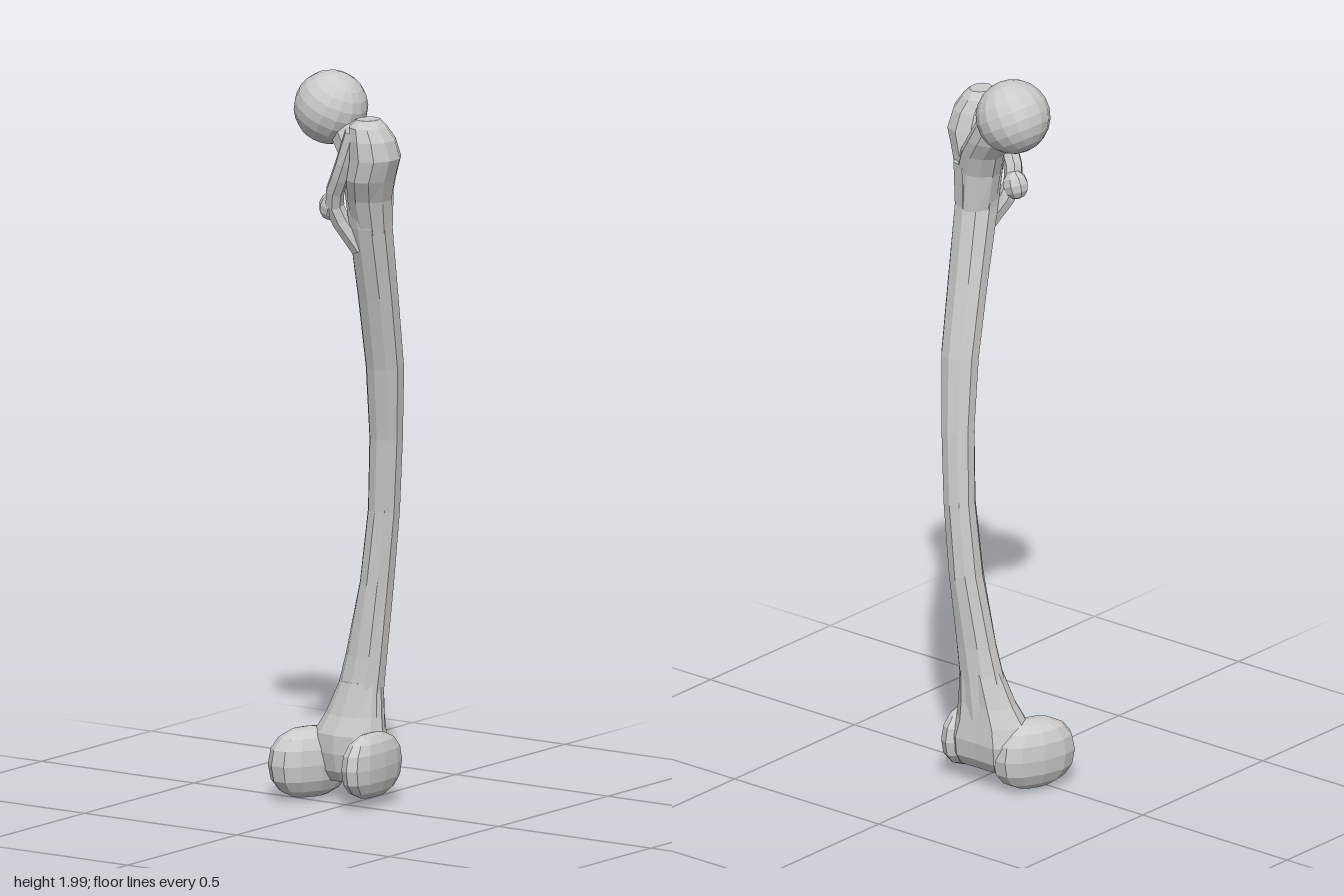
import * as THREE from 'three';

const bone = new THREE.MeshStandardMaterial({ color: 0xcccccc, flatShading: true });

// Closed loft through level sections [y, xMin, xMax, zMin, zMax]; shape(a) scales the outline by angle
function loft(sections, sides, shape = () => 1) {
  const pos = [], idx = [];
  for (const [y, x0, x1, z0, z1] of sections) {
    for (let i = 0; i < sides; i++) {
      const a = (i / sides) * Math.PI * 2, r = shape(a);
      pos.push((x0 + x1) / 2 + Math.cos(a) * r * (x1 - x0) / 2, y,
        (z0 + z1) / 2 + Math.sin(a) * r * (z1 - z0) / 2);
    }
  }
  const last = (sections.length - 1) * sides, c = pos.length / 3;
  for (const s of [sections[0], sections[sections.length - 1]]) {
    pos.push((s[1] + s[2]) / 2, s[0], (s[3] + s[4]) / 2);
  }
  for (let i = 0; i < sides; i++) {
    const n = (i + 1) % sides;
    for (let k = 0; k < last; k += sides) {
      idx.push(k + i, k + sides + i, k + n, k + n, k + sides + i, k + sides + n);
    }
    idx.push(c, i, n, c + 1, last + n, last + i);
  }
  const g = new THREE.BufferGeometry();
  g.setAttribute('position', new THREE.Float32BufferAttribute(pos, 3));
  g.setIndex(idx);
  g.computeVertexNormals();
  return g;
}

// Faceted ellipsoid; power below 1 makes it squarer
function blob(radii, power = 1, w = 12, h = 8) {
  const g = new THREE.SphereGeometry(1, w, h), p = g.attributes.position;
  const f = (v) => Math.sign(v) * Math.abs(v) ** power;
  for (let i = 0; i < p.count; i++) {
    p.setXYZ(i, f(p.getX(i)) * radii[0], f(p.getY(i)) * radii[1], f(p.getZ(i)) * radii[2]);
  }
  g.computeVertexNormals();
  return g;
}

export function createModel() {
  const model = new THREE.Group();
  const add = (name, geometry, at = [0, 0, 0], turn = [0, 0, 0]) => {
    const m = new THREE.Mesh(geometry, bone);
    m.name = name;
    m.position.set(...at);
    m.rotation.set(...turn);
    model.add(m);
  };

  // Bowed shaft
  add('shaft', loft([
    [0.2, 0.02, 0.142, -0.12, 0.06],
    [0.3, 0.035, 0.14, -0.085, 0.052],
    [0.4, 0.045, 0.14, -0.06, 0.06],
    [0.6, 0.055, 0.15, -0.02, 0.075],
    [0.8, 0.06, 0.146, 0.005, 0.095],
    [1.0, 0.045, 0.132, 0.02, 0.115],
    [1.2, 0.01, 0.107, 0.03, 0.14],
    [1.4, -0.042, 0.06, 0.04, 0.157],
    [1.6, -0.1, 0.018, 0.048, 0.172],
    [1.72, -0.12, 0.02, 0.04, 0.18],
  ], 10));

  // Flared lower end with the shallow groove on its +x side
  add('lowerEnd', loft([
    [0.06, 0.03, 0.13, -0.13, 0.07],
    [0.09, 0.01, 0.15, -0.16, 0.085],
    [0.14, 0.0, 0.157, -0.165, 0.085],
    [0.19, 0.0, 0.15, -0.145, 0.066],
    [0.24, 0.02, 0.142, -0.115, 0.058],
    [0.33, 0.04, 0.138, -0.075, 0.05],
  ], 12, (a) => (Math.cos(a) > 0.95 ? 0.88 : Math.abs(Math.cos(a)) > 0.8 ? 1.05 : 1)));

  // Paired condyles
  add('outerCondyle', blob([0.125, 0.088, 0.045], 0.85), [0.03, 0.118, 0.062], [0, 0.05, 0]);
  add('innerCondyle', blob([0.122, 0.097, 0.068], 0.87), [0.028, 0.104, -0.142], [0, -0.35, 0]);

  // Neck leaning back to the ball
  add('neck', loft([
    [1.58, -0.09, 0.018, 0.055, 0.16],
    [1.7, -0.085, 0.022, 0.03, 0.16],
    [1.76, -0.07, 0.035, 0.008, 0.135],
    [1.81, -0.06, 0.05, -0.03, 0.1],
    [1.86, -0.055, 0.055, -0.06, 0.068],
    [1.9, -0.045, 0.045, -0.08, 0.03],
  ], 10));
  add('ballHead', blob([0.1, 0.1, 0.1], 1, 16, 11), [0, 1.9, -0.05], [0.5, 0, 0]);

  // Greater trochanter beside the neck
  add('greaterTrochanter', loft([
    [1.55, -0.08, 0.01, 0.065, 0.165],
    [1.68, -0.125, 0.005, 0.06, 0.18],
    [1.74, -0.155, 0.0, 0.075, 0.2],
    [1.8, -0.16, -0.005, 0.088, 0.222],
    [1.85, -0.16, -0.02, 0.088, 0.212],
    [1.885, -0.152, -0.04, 0.09, 0.19],
    [1.905, -0.13, -0.06, 0.11, 0.17],
  ], 10));

  // Crest running down to the lesser trochanter
  const crest = new THREE.CatmullRomCurve3([
    [-0.125, 1.87, 0.115], [-0.125, 1.77, 0.08], [-0.105, 1.66, 0.035], [-0.06, 1.54, 0.09],
  ].map((p) => new THREE.Vector3(...p)));
  add('trochantericCrest', new THREE.TubeGeometry(crest, 8, 0.026, 7));
  add('lesserTrochanter', blob([0.032, 0.04, 0.036], 1, 8, 6), [-0.098, 1.655, 0.023], [0.3, 0.3, 0]);

  return model;
}
